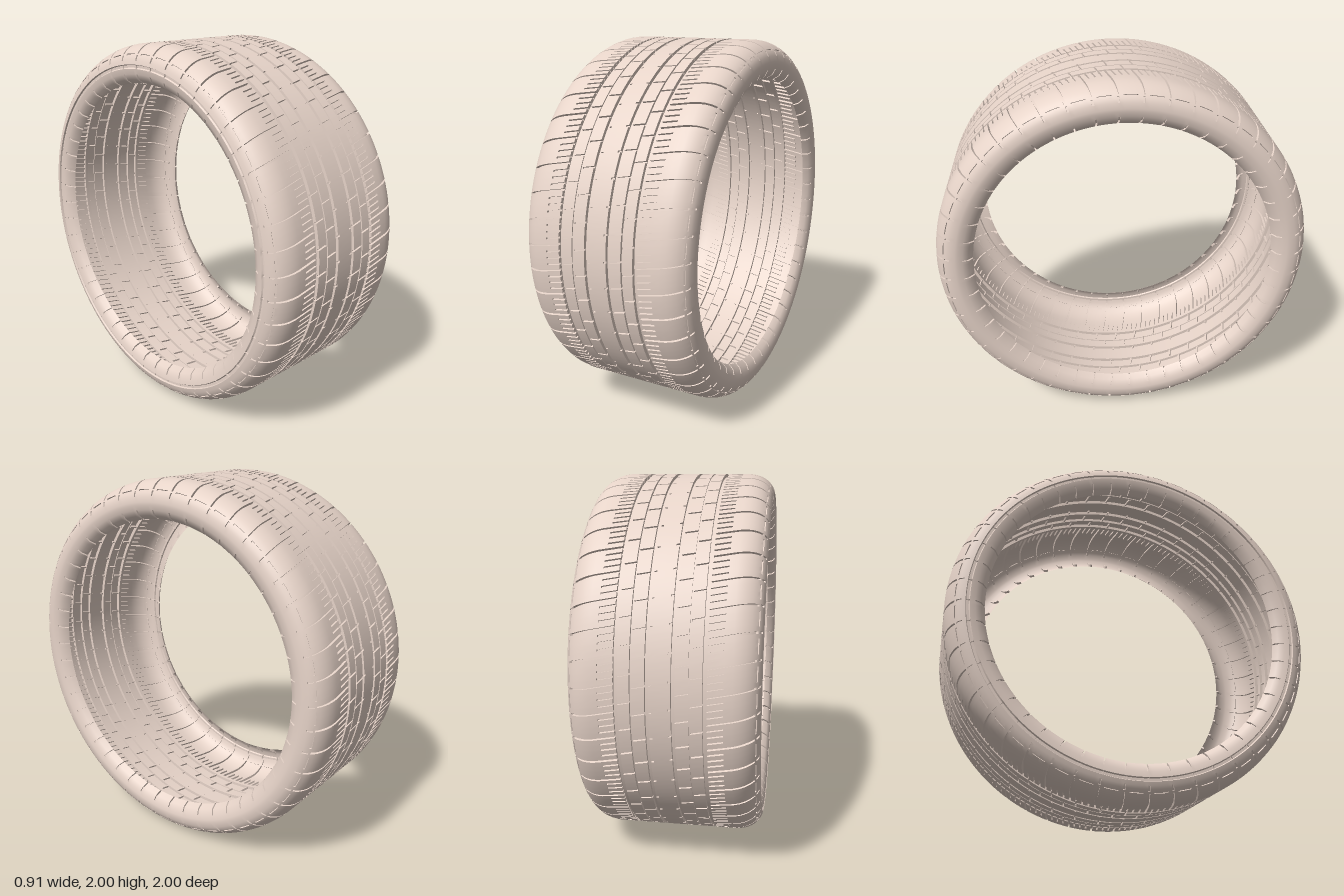
import * as THREE from 'three';
import { toCreasedNormals } from 'three/addons/utils/BufferGeometryUtils.js';

const REPEATS = 48;                 // tread pattern repeats around the tyre
const PITCH = (Math.PI * 2) / REPEATS;
const SKEW = 0.2;                   // slant of the cross grooves

// Tread cross-section: flat crown running into elliptical shoulders
const treadRadius = (x) => {
  const u = Math.max(0, Math.abs(x) - 0.32) / 0.137;
  return 0.89 + 0.11 * Math.sqrt(Math.max(0, 1 - u * u));
};
const treadX = [0.037, 0.051, 0.069, 0.131, 0.139, 0.195, 0.215, 0.25, 0.29, 0.33,
  0.36, 0.385, 0.405, 0.42, 0.432, 0.438, 0.445, 0.452];
const outerWall = [[0.457, 0.89], [0.456, 0.875], [0.45, 0.85], [0.435, 0.82], [0.405, 0.8]];
const innerWall = [[-0.405, 0.8], [-0.435, 0.82], [-0.45, 0.85], [-0.455, 0.878],
  [-0.448, 0.883], [-0.448, 0.896], [-0.457, 0.9]];

const profile = [
  ...innerWall,
  ...[...treadX.map((x) => -x).reverse(), 0, ...treadX].map((x) => [x, treadRadius(x)]),
  ...outerWall,
];
const normals = profile.map((p, i) => {
  const a = profile[Math.max(0, i - 1)], b = profile[Math.min(profile.length - 1, i + 1)];
  return new THREE.Vector2(a[1] - b[1], b[0] - a[0]).normalize();
});

// One pattern repeat is split at the edges of its cross grooves
const phases = [0, 0.085, 0.25, 0.32, 0.5, 0.57, 0.75, 0.82];
const ROWS = phases.length;

// Depth of the groove covering a cell of the pattern (0 = full tread height)
function grooveDepth(x, row) {
  const a = Math.abs(x);
  const within = (lo, hi) => a > lo && a < hi;
  if (a > 0.452) return 0;
  if (within(0.195, 0.215) || within(0.051, 0.069)) return 0.018;  // main channels
  if (within(0.131, 0.139)) return x > 0 ? 0.016 : 0.006;          // narrow channels
  if (within(0.037, 0.051)) return row === 2 ? 0.01 : 0;           // centre rib nicks
  if (within(0.069, 0.131)) return row === (x > 0 ? 2 : 6) ? 0.012 : 0;
  if (within(0.139, 0.195)) return row === (x > 0 ? 6 : 2) ? 0.012 : 0;
  if (within(0.432, 0.438)) return row > 1 && row < 7 ? 0.006 : 0; // dashed shoulder line
  if (a > 0.215 && row === 0) return a > 0.438 ? 0.008 : 0.014;    // long shoulder grooves
  if (within(0.215, 0.29) && row % 2 === 0) return 0.012;          // short shoulder sipes
  return 0;
}

function tyreGeometry() {
  const cols = profile.length - 1, rows = REPEATS * ROWS;
  const positions = [];

  const point = (i, j, depth) => {
    const x = profile[i][0] - normals[i].x * depth;
    const r = profile[i][1] - normals[i].y * depth;
    const jj = j % rows;
    const t = (Math.floor(jj / ROWS) + phases[jj % ROWS]) * PITCH + SKEW * profile[i][0];
    return [x, 1 + r * Math.sin(t), r * Math.cos(t)];
  };
  const quad = (a, b, c, d) => positions.push(...a, ...b, ...c, ...a, ...c, ...d);
  const depthAt = (i, j) => (i < 0 || i >= cols)
    ? 0 : grooveDepth((profile[i][0] + profile[i + 1][0]) / 2, j % ROWS);

  for (let j = 0; j < rows; j++) {
    for (let i = 0; i < cols; i++) {
      const d = depthAt(i, j), dx = depthAt(i + 1, j), dt = depthAt(i, j + 1);
      // Rib top or groove floor
      quad(point(i, j, d), point(i + 1, j, d), point(i + 1, j + 1, d), point(i, j + 1, d));
      // Groove walls wherever the depth changes
      if (d !== dx) {
        quad(point(i + 1, j, d), point(i + 1, j, dx), point(i + 1, j + 1, dx), point(i + 1, j + 1, d));
      }
      if (d !== dt) {
        quad(point(i, j + 1, d), point(i + 1, j + 1, d), point(i + 1, j + 1, dt), point(i, j + 1, dt));
      }
    }
  }
  const geometry = new THREE.BufferGeometry();
  geometry.setAttribute('position', new THREE.Float32BufferAttribute(positions, 3));
  return toCreasedNormals(geometry, 0.7);
}

export function createModel() {
  const group = new THREE.Group();
  group.name = 'tyre';
  const material = new THREE.MeshStandardMaterial({ color: 0xe6d3c8, side: THREE.DoubleSide });
  const shell = new THREE.Mesh(tyreGeometry(), material);
  shell.name = 'treadAndSidewalls';
  group.add(shell);
  return group;
}
